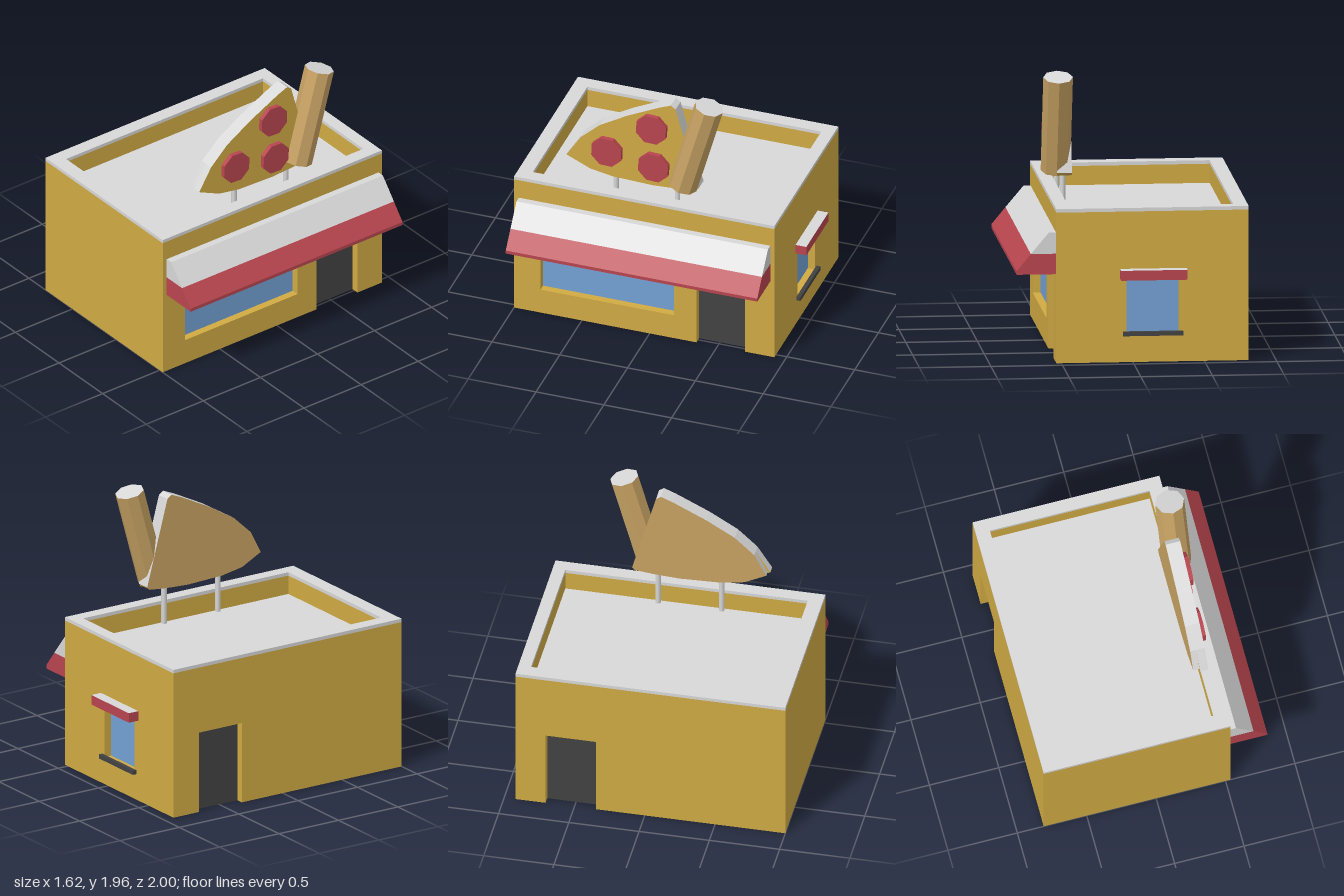
import * as THREE from 'three';

const mat = (name, color, side = THREE.FrontSide) => {
  const m = new THREE.MeshStandardMaterial({ color, side });
  m.name = name;
  return m;
};

export function createModel() {
  const yellow = mat('mustard yellow', 0xd0aa43, THREE.DoubleSide);
  const grey = mat('light grey', 0xd8d8d8, THREE.DoubleSide);
  const red = mat('red', 0xb9454f);
  const blue = mat('glass blue', 0x73a1d4, THREE.DoubleSide);
  const dark = mat('charcoal', 0x424242, THREE.DoubleSide);
  const brown = mat('crust brown', 0xc7a263);

  const model = new THREE.Group();
  model.name = 'pizzaShop';
  const add = (parent, name, geo, material, x = 0, y = 0, z = 0) => {
    const m = new THREE.Mesh(geo, material);
    m.name = name;
    m.position.set(x, y, z);
    parent.add(m);
    return m;
  };
  const rect = (T, x0, y0, x1, y1) => {
    const s = new T();
    s.moveTo(x0, y0);
    s.lineTo(x1, y0);
    s.lineTo(x1, y1);
    s.lineTo(x0, y1);
    s.closePath();
    return s;
  };
  const polygon = (pts) => new THREE.Shape(pts.map(([x, y]) => new THREE.Vector2(x, y)));

  // Building extents
  const X0 = -0.81, X1 = 0.535, Z0 = -0.92, Z1 = 1, H = 1.065, TOP = 1.09;
  const x0 = -0.71, x1 = 0.44, z0 = -0.83, z1 = 0.895, ROOF = 0.93;
  const DEPTH = 0.055;

  // Wall sheet with recessed openings; local +z points outward
  function wall(name, a, b, position, turn, openings = []) {
    const g = new THREE.Group();
    g.name = name;
    g.position.set(...position);
    g.rotation.y = turn;
    let shape = rect(THREE.Shape, a, 0, b, H);
    const door = openings.find((o) => o.door);
    if (door) {
      shape = polygon([[a, 0], [door.l, 0], [door.l, door.t], [door.r, door.t],
        [door.r, 0], [b, 0], [b, H], [a, H]]);
    }
    for (const o of openings) {
      if (!o.door) shape.holes.push(rect(THREE.Path, o.l, o.b, o.r, o.t));
      const w = o.r - o.l, h = o.t - o.b, cx = (o.l + o.r) / 2, cy = (o.b + o.t) / 2;
      add(g, o.door ? 'door' : 'windowPane', new THREE.PlaneGeometry(w, h),
        o.door ? dark : blue, cx, cy, -DEPTH);
      for (const s of [-1, 1]) {
        add(g, 'sideReveal', new THREE.PlaneGeometry(DEPTH, h).rotateY(-s * Math.PI / 2),
          yellow, cx + s * w / 2, cy, -DEPTH / 2);
        if (o.door && s < 0) continue;
        add(g, 'levelReveal', new THREE.PlaneGeometry(w, DEPTH).rotateX(s * Math.PI / 2),
          yellow, cx, cy + s * h / 2, -DEPTH / 2);
      }
    }
    add(g, 'wallSheet', new THREE.ShapeGeometry(shape), yellow);
    model.add(g);
  }
  wall('frontWall', X0, X1, [0, 0, Z1], 0);
  wall('leftWall', -Z1, -Z0, [X1, 0, 0], Math.PI / 2, [
    { l: -0.805, r: 0.18, b: 0.19, t: 0.585 },
    { l: 0.345, r: 0.705, b: 0, t: 0.585, door: true },
  ]);
  wall('rightWall', Z0, Z1, [X0, 0, 0], -Math.PI / 2, [
    { l: -0.705, r: -0.345, b: 0, t: 0.585, door: true },
  ]);
  wall('backWall', -X1, -X0, [0, 0, Z0], Math.PI, [
    { l: -0.045, r: 0.325, b: 0.2, t: 0.585 },
  ]);

  // Roof, inner parapet faces and coping
  const cx = (x0 + x1) / 2, cz = (z0 + z1) / 2, ph = H - ROOF, py = (H + ROOF) / 2;
  add(model, 'roof', new THREE.PlaneGeometry(x1 - x0, z1 - z0).rotateX(-Math.PI / 2), grey, cx, ROOF, cz);
  for (const s of [-1, 1]) {
    add(model, 'parapetSide', new THREE.PlaneGeometry(z1 - z0, ph).rotateY(-s * Math.PI / 2),
      yellow, s > 0 ? x1 : x0, py, cz);
    add(model, 'parapetEnd', new THREE.PlaneGeometry(x1 - x0, ph).rotateY(s > 0 ? Math.PI : 0),
      yellow, cx, py, s > 0 ? z1 : z0);
  }
  const ring = rect(THREE.Shape, X0, -Z1, X1, -Z0);
  ring.holes.push(rect(THREE.Path, x0, -z1, x1, -z0));
  add(model, 'coping', new THREE.ExtrudeGeometry(ring, { depth: TOP - H, bevelEnabled: false })
    .rotateX(-Math.PI / 2), grey, 0, H, 0);

  // Long awning in two colour bands
  const awning = (name, pts, material) => add(model, name,
    new THREE.ExtrudeGeometry(polygon(pts), { depth: 1.855, bevelEnabled: false }), material, 0, 0, -0.89);
  awning('awningTop', [[X1, 0.77], [0.711, 0.77], [0.585, 0.92], [X1, 0.92]], grey);
  awning('awningValance', [[X1, 0.625], [0.81, 0.625], [0.81, 0.65], [0.711, 0.77], [X1, 0.77]], red);

  // Back window hood and sill
  add(model, 'windowHood', new THREE.BoxGeometry(0.465, 0.07, 0.08),
    [red, red, grey, red, red, red], -0.1425, 0.625, -0.96);
  add(model, 'windowSill', new THREE.BoxGeometry(0.42, 0.03, 0.03), dark, -0.14, 0.203, -0.935);

  // Rooftop pizza slice sign
  const sign = new THREE.Group();
  sign.name = 'pizzaSign';
  model.add(sign);
  const outline = [[-0.635, 1.315], [-0.46, 1.235], [-0.29, 1.205], [0, 1.195], [0.18, 1.205],
    [0.32, 1.22], [0.34, 1.24], [0.17, 1.86], [0.135, 1.885], [0.05, 1.85], [-0.19, 1.73], [-0.39, 1.61], [-0.53, 1.48]];

  // Slice layer whose upward rim is grey
  function slice(name, material, x, depth, shift) {
    const pts = outline.map(([a, b], i) => [i === 0 ? a + shift : a, b]);
    const geo = new THREE.ExtrudeGeometry(polygon(pts), { depth, bevelEnabled: false }).rotateY(Math.PI / 2);
    const n = geo.attributes.normal;
    geo.clearGroups();
    for (let i = 0; i < n.count; i += 3) geo.addGroup(i, 3, n.getY(i) > 0.1 ? 1 : 0);
    add(sign, name, geo, [material, grey], x);
  }
  slice('sliceBase', brown, 0.37, 0.045, 0.02);
  slice('sliceCheese', yellow, 0.415, 0.06, 0);

  const crust = new THREE.CylinderGeometry(0.104, 0.104, 0.716, 8).toNonIndexed();
  crust.computeVertexNormals();
  add(sign, 'crust', crust, [brown, grey, brown], 0.475, 1.588, -0.3215).rotation.x = -0.273;

  for (const [z, y] of [[0.33, 1.415], [0, 1.67], [-0.015, 1.36]]) {
    const disc = new THREE.CylinderGeometry(0.118, 0.118, 0.035, 8).toNonIndexed();
    disc.computeVertexNormals();
    disc.rotateY(0.35).rotateZ(-Math.PI / 2);
    add(sign, 'pepperoni', disc, red, 0.49, y, z);
  }
  for (const z of [0.288, -0.165]) {
    add(sign, 'signPole', new THREE.CylinderGeometry(0.02, 0.02, 0.29, 8), grey, 0.42, 1.075, z);
  }
  return model;
}
